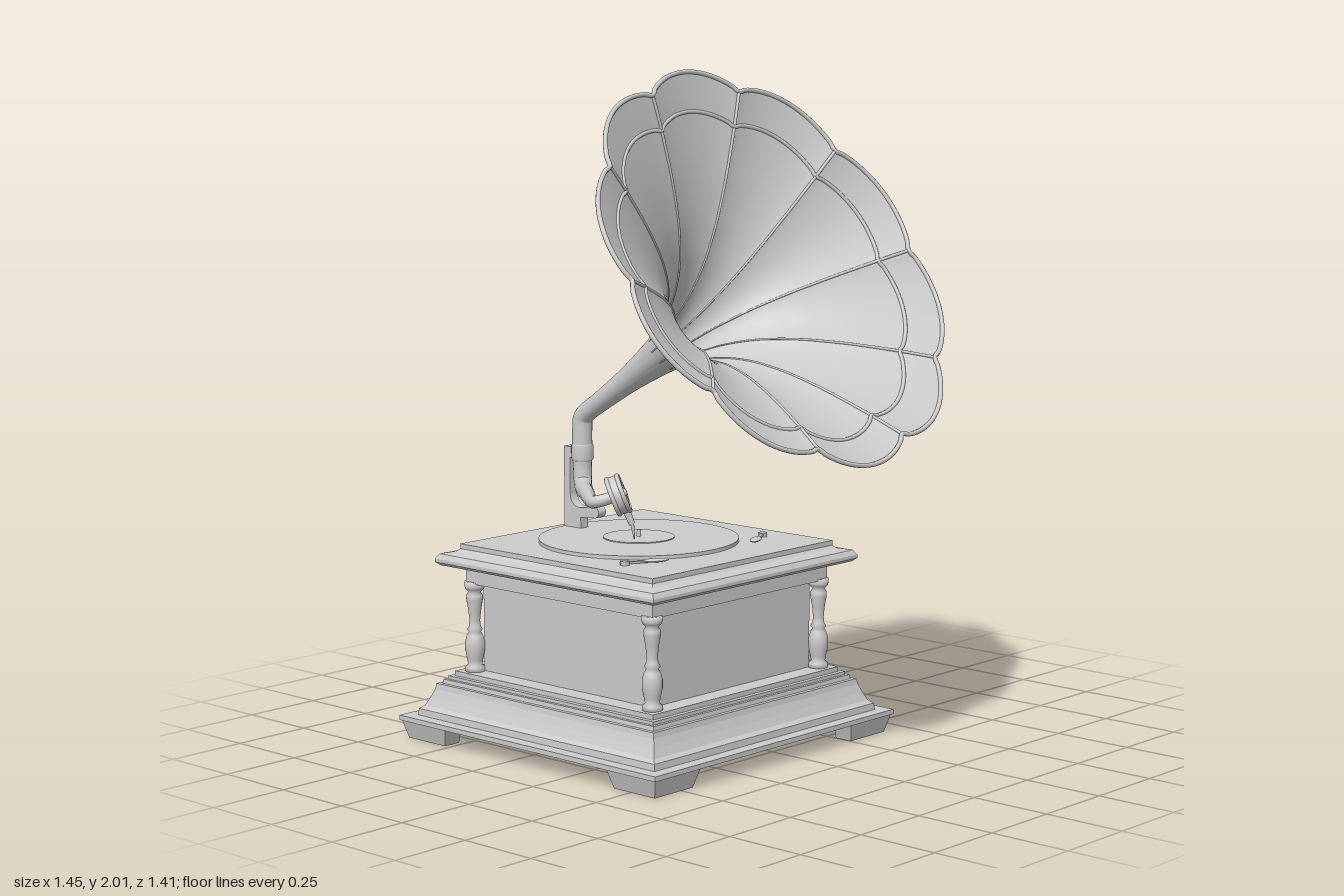
import * as THREE from 'three';
import { mergeVertices } from 'three/addons/utils/BufferGeometryUtils.js';

const CX = -0.1, CZ = -0.167; // cabinet centre
const mat = new THREE.MeshStandardMaterial({ color: 0xcccccc });
const thin = new THREE.MeshStandardMaterial({ color: 0xcccccc, side: THREE.DoubleSide });
const V = (x, y, z) => new THREE.Vector3(x, y, z);

function add(parent, name, geo, x = 0, y = 0, z = 0, material = mat) {
  const m = new THREE.Mesh(geo, material);
  m.name = name;
  m.position.set(x, y, z);
  parent.add(m);
  return m;
}

// Square moulding from a [halfWidth, y] profile, listed bottom to top
function squareMoulding(profile) {
  const pts = profile.map(([h, y]) => new THREE.Vector2(h * Math.SQRT2, y));
  pts.unshift(new THREE.Vector2(0, pts[0].y));
  pts.push(new THREE.Vector2(0, pts[pts.length - 1].y));
  const g = new THREE.LatheGeometry(pts, 4, Math.PI / 4).toNonIndexed();
  g.computeVertexNormals();
  return g;
}

const lathe = (profile, seg = 24) =>
  new THREE.LatheGeometry(profile.map(([r, y]) => new THREE.Vector2(r, y)), seg);

// Tube whose radius runs from r0 to r1
function taperedTube(points, r0, r1 = r0, n = 40) {
  const curve = new THREE.CatmullRomCurve3(points, false, 'centripetal');
  const g = new THREE.TubeGeometry(curve, n, 1, 16);
  const p = g.attributes.position, v = V(0, 0, 0);
  for (let i = 0; i < p.count; i++) {
    const u = Math.floor(i / 17) / n, c = curve.getPointAt(u);
    v.fromBufferAttribute(p, i).sub(c).multiplyScalar(r0 + (r1 - r0) * u).add(c);
    p.setXYZ(i, v.x, v.y, v.z);
  }
  return g;
}

function buildCabinet(root) {
  const cab = new THREE.Group();
  cab.name = 'cabinet';
  cab.position.set(CX, 0, CZ);
  root.add(cab);

  add(cab, 'plinth', squareMoulding([
    [0.53, 0.055], [0.53, 0.07], [0.49, 0.07], [0.488, 0.09], [0.475, 0.1], [0.463, 0.125],
    [0.453, 0.15], [0.45, 0.167], [0.437, 0.167], [0.435, 0.18], [0.425, 0.18], [0.425, 0.19],
    [0.41, 0.19], [0.41, 0.205]]));
  add(cab, 'body', new THREE.BoxGeometry(0.695, 0.29, 0.695), 0, 0.34, 0);
  add(cab, 'lid', squareMoulding([
    [0.385, 0.475], [0.385, 0.52], [0.42, 0.525], [0.438, 0.53], [0.45, 0.54], [0.45, 0.55],
    [0.44, 0.565], [0.405, 0.572], [0.396, 0.58], [0.396, 0.595]]));

  // L-shaped feet, tapering downwards
  const L = new THREE.Shape([[0.525, -0.525], [0.525, -0.335], [0.455, -0.335], [0.455, -0.455],
    [0.335, -0.455], [0.335, -0.525]].map(([x, y]) => new THREE.Vector2(x, -y)));
  const foot = new THREE.ExtrudeGeometry(L, { depth: 0.056, bevelEnabled: false });
  foot.rotateX(-Math.PI / 2);
  const p = foot.attributes.position;
  for (let i = 0; i < p.count; i++) {
    if (p.getY(i) > 0.01) continue;
    p.setX(i, 0.435 + (p.getX(i) - 0.435) * 0.83);
    p.setZ(i, -0.435 + (p.getZ(i) + 0.435) * 0.83);
  }
  foot.computeVertexNormals();

  const column = lathe([[0, 0.2], [0.03, 0.2], [0.03, 0.218], [0.021, 0.225], [0.024, 0.24],
    [0.03, 0.27], [0.03, 0.295], [0.024, 0.315], [0.018, 0.325], [0.024, 0.333], [0.018, 0.342],
    [0.016, 0.36], [0.019, 0.39], [0.025, 0.425], [0.025, 0.438], [0.018, 0.448], [0.028, 0.458],
    [0.03, 0.465], [0.03, 0.48], [0, 0.48]]);
  for (let k = 0; k < 4; k++) {
    add(cab, 'foot', foot).rotation.y = k * Math.PI / 2;
    add(cab, 'cornerColumn', column, k % 2 ? 0.367 : -0.367, 0, k < 2 ? 0.367 : -0.367);
  }
}

function buildTurntable(root) {
  const t = new THREE.Group();
  t.name = 'turntable';
  t.position.set(CX, 0, -0.2);
  root.add(t);
  add(t, 'record', new THREE.CylinderGeometry(0.302, 0.302, 0.012, 96), 0, 0.6, 0);
  add(t, 'recordLabel', new THREE.CylinderGeometry(0.108, 0.108, 0.004, 48), 0, 0.607, 0);
  add(t, 'spindle', new THREE.CylinderGeometry(0.006, 0.008, 0.03, 12), 0, 0.615, 0);
  // Brake and speed levers at the front corners
  for (const s of [-1, 1]) {
    const lever = new THREE.Group();
    lever.name = 'lever';
    lever.position.set(s * 0.25, 0.6, 0.26);
    lever.rotation.y = s * 0.5;
    t.add(lever);
    add(lever, 'leverPaddle', new THREE.SphereGeometry(1, 20, 10), -s * 0.035, 0.003, 0).scale.set(0.04, 0.006, 0.016);
    add(lever, 'leverArm', new THREE.BoxGeometry(0.09, 0.006, 0.01), s * 0.03, 0.001, 0);
    add(lever, 'leverPivot', new THREE.CylinderGeometry(0.014, 0.014, 0.014, 16), s * 0.06, 0, 0);
  }
}

function buildCrank(root) {
  const g = new THREE.Group();
  g.name = 'crank';
  root.add(g);
  add(g, 'crankRod', taperedTube([V(0.23, 0.44, -0.2), V(0.37, 0.44, -0.2), V(0.4, 0.437, -0.202),
    V(0.415, 0.415, -0.213), V(0.418, 0.35, -0.247), V(0.418, 0.29, -0.283), V(0.43, 0.268, -0.298),
    V(0.45, 0.265, -0.3), V(0.49, 0.265, -0.3)], 0.012, 0.012, 60));
  const handle = lathe([[0, 0], [0.034, 0], [0.038, 0.006], [0.038, 0.17], [0.036, 0.2],
    [0.028, 0.226], [0.015, 0.24], [0, 0.244]]);
  add(g, 'crankHandle', handle, 0.474, 0.265, -0.3).rotation.z = -Math.PI / 2;
}

function buildToneArm(root) {
  const g = new THREE.Group();
  g.name = 'toneArm';
  root.add(g);
  add(g, 'elbow', taperedTube([V(CX, 1.01, -0.348), V(CX, 0.968, -0.412), V(CX, 0.947, -0.433),
    V(CX, 0.91, -0.437), V(CX, 0.82, -0.437)], 0.03, 0.031));
  add(g, 'collar', lathe([[0.03, 0.815], [0.034, 0.82], [0.034, 0.862], [0.03, 0.867]]), CX, 0, -0.437);
  add(g, 'arm', taperedTube([V(CX, 0.83, -0.437), V(CX, 0.78, -0.437), V(-0.105, 0.749, -0.43),
    V(-0.13, 0.737, -0.403), V(-0.2, 0.737, -0.32), V(-0.3, 0.742, -0.205), V(-0.326, 0.746, -0.168),
    V(-0.32, 0.752, -0.145), V(-0.29, 0.762, -0.122)], 0.03, 0.017, 60));

  // Bracket carrying the arm from behind
  const b = new THREE.Shape();
  b.moveTo(-0.5, 0.595);
  b.lineTo(-0.43, 0.595);
  b.lineTo(-0.43, 0.64);
  b.lineTo(-0.375, 0.645);
  b.absarc(-0.372, 0.662, 0.018, -Math.PI / 2, Math.PI / 2, false);
  b.lineTo(-0.43, 0.67);
  b.quadraticCurveTo(-0.472, 0.67, -0.475, 0.71);
  b.lineTo(-0.475, 0.82);
  b.lineTo(-0.44, 0.83);
  b.lineTo(-0.44, 0.855);
  b.lineTo(-0.5, 0.855);
  const bracket = new THREE.ExtrudeGeometry(b, { depth: 0.032, bevelEnabled: false });
  bracket.rotateY(-Math.PI / 2);
  add(g, 'bracket', bracket, CX + 0.016, 0, 0);

  // Sound box: drum with rim, hub, ring of studs and needle
  const box = new THREE.Group();
  box.name = 'soundBox';
  box.position.set(-0.28, 0.768, -0.112);
  box.quaternion.setFromUnitVectors(V(0, 1, 0), V(0.65, 0.36, 0.67).normalize());
  g.add(box);
  add(box, 'drum', new THREE.CylinderGeometry(0.058, 0.058, 0.034, 40));
  for (const y of [-0.016, 0.016])
    add(box, 'drumRim', new THREE.TorusGeometry(0.055, 0.007, 10, 40), 0, y, 0).rotation.x = Math.PI / 2;
  add(box, 'hub', new THREE.CylinderGeometry(0.01, 0.012, 0.012, 16), 0, 0.021, 0);
  for (let k = 0; k < 6; k++) {
    const a = k * Math.PI / 3;
    add(box, 'stud', new THREE.CylinderGeometry(0.008, 0.008, 0.006, 12), 0.033 * Math.cos(a), 0.019, 0.033 * Math.sin(a));
  }
  add(g, 'needleHolder', taperedTube([V(-0.262, 0.72, -0.095), V(-0.25, 0.68, -0.085)], 0.012, 0.009, 4));
  add(g, 'needle', taperedTube([V(-0.25, 0.685, -0.085), V(-0.245, 0.635, -0.08)], 0.006, 0.002, 4));
}

function buildHorn(root) {
  const horn = new THREE.Group();
  horn.name = 'horn';
  horn.position.set(CX, 0.95, -0.44);
  horn.rotation.x = 0.992;
  root.add(horn);

  // Flaring profile (radius at the seams, distance along the axis)
  const profile = new THREE.SplineCurve([[0.029, 0.04], [0.04, 0.25], [0.07, 0.46], [0.107, 0.56],
    [0.168, 0.65], [0.24, 0.72], [0.305, 0.77], [0.388, 0.825], [0.505, 0.893], [0.6, 0.943]]
    .map(([r, t]) => new THREE.Vector2(r, t)));
  // Ten petals bulge between the seams, growing towards the mouth
  const surface = (u, a) => {
    const q = profile.getPoint(u);
    const f = Math.pow(q.y / 0.943, 2);
    const r = q.x * (1 + 0.075 * f * Math.pow(Math.abs(Math.cos(5 * a)), 0.75));
    return V(r * Math.sin(a), q.y, r * Math.cos(a));
  };

  const NU = 60, NA = 240, pos = [], idx = [];
  for (let i = 0; i <= NU; i++)
    for (let j = 0; j < NA; j++) pos.push(...surface(i / NU, j / NA * Math.PI * 2).toArray());
  for (let i = 0; i < NU; i++)
    for (let j = 0; j < NA; j++) {
      const k = (j + 1) % NA, a = i * NA + j, b = i * NA + k, c = a + NA, d = b + NA;
      idx.push(a, b, d, a, d, c);
    }
  let bell = new THREE.BufferGeometry();
  bell.setAttribute('position', new THREE.Float32BufferAttribute(pos, 3));
  bell.setIndex(idx);
  bell = mergeVertices(bell);
  bell.computeVertexNormals();
  add(horn, 'bell', bell, 0, 0, 0, thin);

  // Scalloped beads: the rolled rim and the crease inside it
  for (const [u, r, name] of [[1, 0.007, 'rim'], [0.89, 0.006, 'petalCrease']]) {
    const pts = Array.from({ length: 160 }, (_, j) => surface(u, j / 160 * Math.PI * 2));
    add(horn, name, new THREE.TubeGeometry(new THREE.CatmullRomCurve3(pts, true), 320, r, 8, true));
  }
  // Seams between the petals
  for (let k = 0; k < 10; k++) {
    const pts = Array.from({ length: 16 }, (_, i) => surface(0.2 + 0.8 * i / 15, (k + 0.5) * Math.PI / 5));
    add(horn, 'seam', taperedTube(pts, 0.002, 0.005));
  }
}

export function createModel() {
  const root = new THREE.Group();
  root.name = 'hornRecordPlayer';
  buildCabinet(root);
  buildTurntable(root);
  buildCrank(root);
  buildToneArm(root);
  buildHorn(root);
  return root;
}
